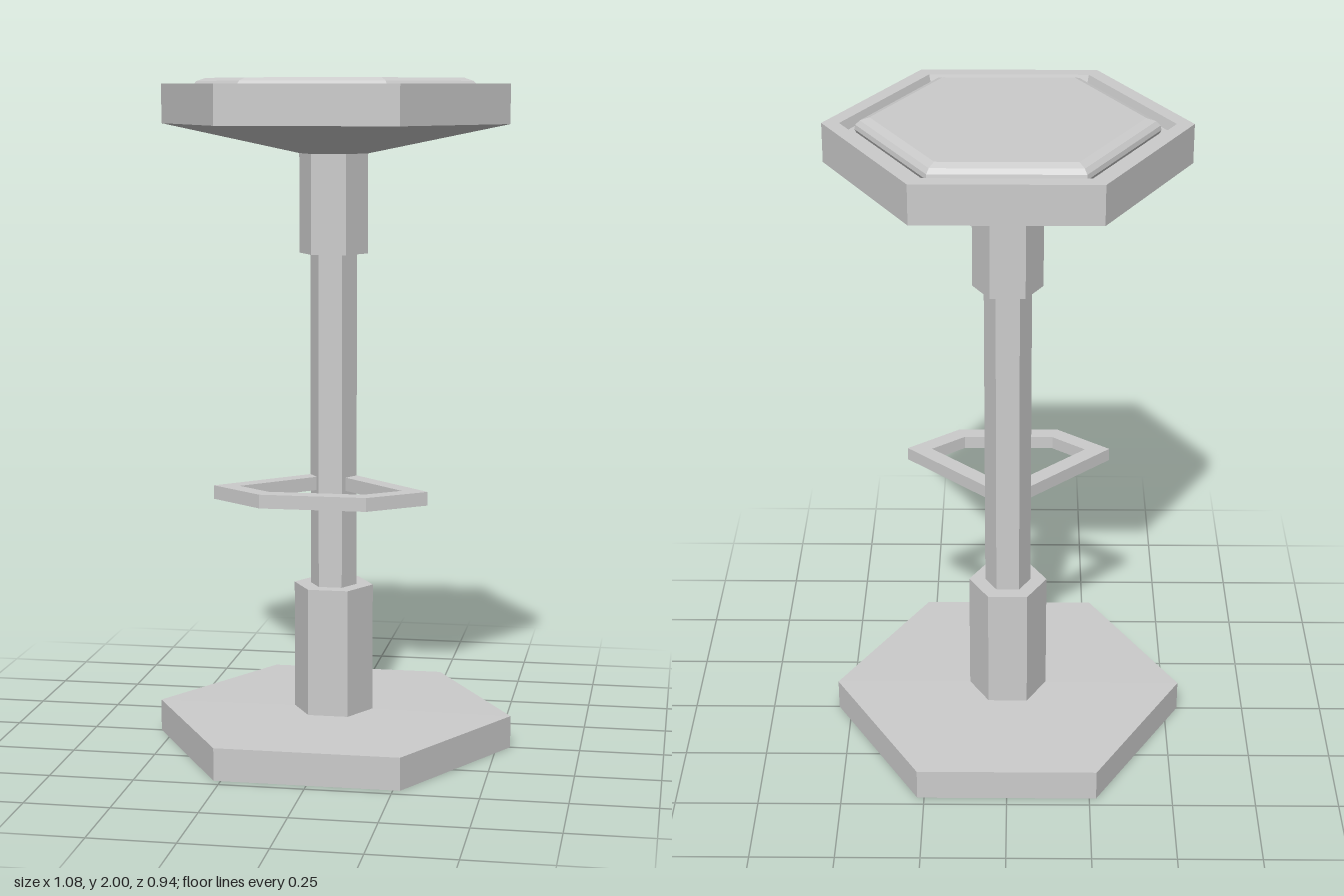
import * as THREE from 'three';

const material = new THREE.MeshStandardMaterial({ color: 0xcccccc, flatShading: true });

// Six-sided solid turned from a [radius, height] profile, corners on the x axis
function hexPart(name, profile) {
  const points = profile.map(([r, y]) => new THREE.Vector2(r, y));
  const geometry = new THREE.LatheGeometry(points, 6);
  geometry.rotateY(Math.PI / 6);
  const mesh = new THREE.Mesh(geometry, material);
  mesh.name = name;
  return mesh;
}

// Straight hexagonal prism with closed ends
const hexPrism = (name, r, y0, y1) => hexPart(name, [[0, y0], [r, y0], [r, y1], [0, y1]]);

// Angular bar looping forward from both sides of the pole
function footrest() {
  const outer = [[0.065, -0.005], [0.315, 0.235], [0.155, 0.36]];
  const inner = [[0.138, 0.31], [0.239, 0.231], [0.035, 0.036]];
  const mirror = (side) => side.map(([x, z]) => [-x, z]).reverse();
  const outline = [...outer, ...mirror(outer), ...mirror(inner), ...inner];
  const shape = new THREE.Shape(outline.map(([x, z]) => new THREE.Vector2(x, z)));
  const geometry = new THREE.ExtrudeGeometry(shape, { depth: 0.04, bevelEnabled: false });
  geometry.rotateX(Math.PI / 2);
  const mesh = new THREE.Mesh(geometry, material);
  mesh.name = 'footrest';
  mesh.position.y = 0.82;
  return mesh;
}

export function createModel() {
  const stool = new THREE.Group();
  stool.name = 'barStool';
  stool.add(
    hexPart('base', [[0, 0], [0.541, 0], [0.541, 0.097], [0, 0.102]]),
    hexPrism('lowerSleeve', 0.12, 0.09, 0.487),
    hexPrism('pole', 0.07, 0.45, 1.52),
    hexPrism('upperSleeve', 0.103, 1.487, 1.8),
    footrest(),
    // Tapered shell with a raised rim and a recessed floor
    hexPart('seatShell', [
      [0, 1.78], [0.1, 1.78], [0.52, 1.867], [0.52, 1.983],
      [0.47, 1.983], [0.46, 1.955], [0, 1.955],
    ]),
    // Cushion with a chamfered top edge
    hexPart('cushion', [
      [0.42, 1.95], [0.428, 1.965], [0.425, 1.978], [0.412, 1.991], [0.385, 2], [0, 2],
    ]),
  );
  return stool;
}
